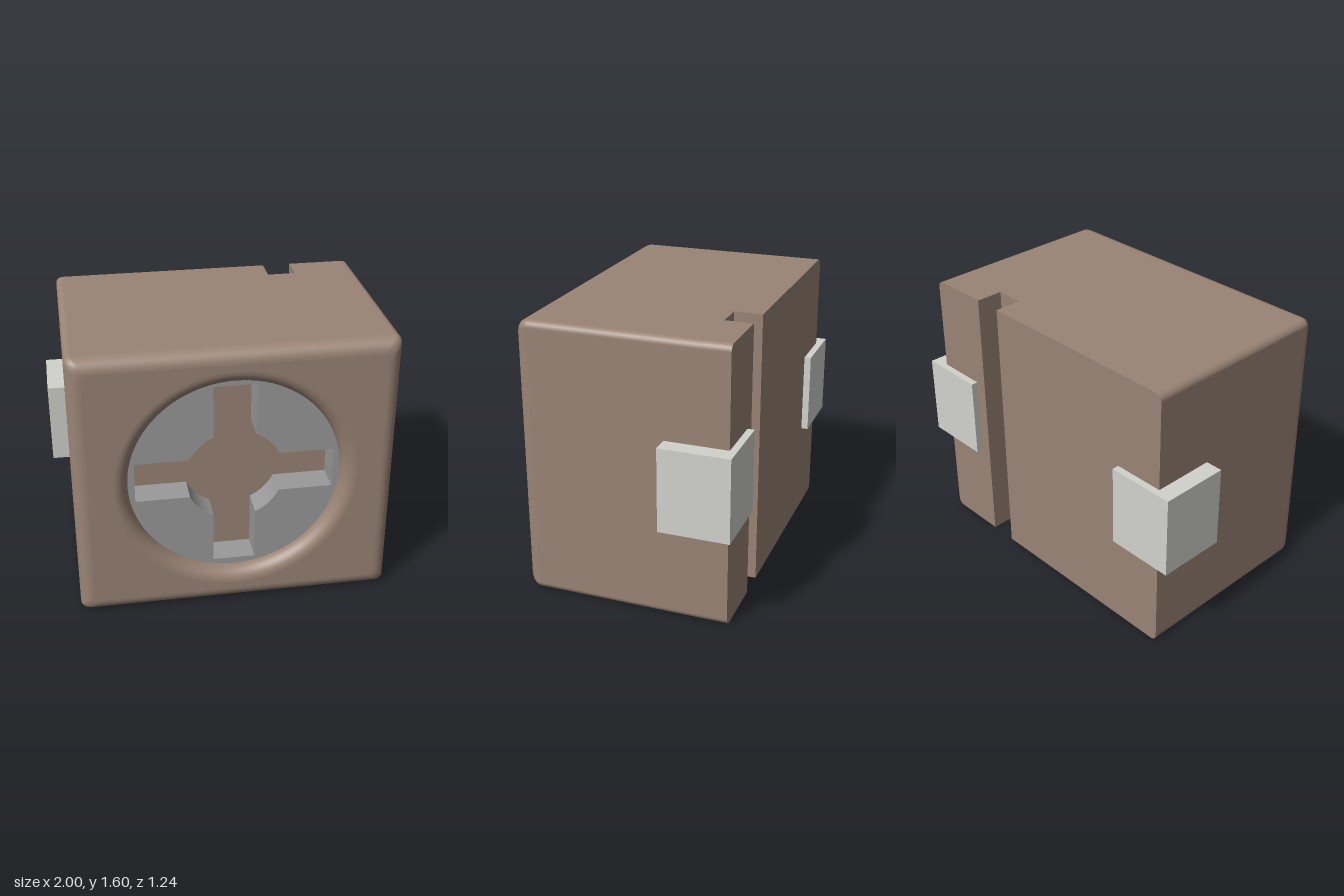
import * as THREE from 'three';

const brown = new THREE.MeshStandardMaterial({ color: 0x9a8475 });
const lightGrey = new THREE.MeshStandardMaterial({ color: 0xd2d2cd });
const midGrey = new THREE.MeshStandardMaterial({ color: 0x9a9a9a });

const HALF_W = 0.9, HALF_H = 0.8, CORNER = 0.04, FILLET = 0.08;
const FRONT = 0.62, BACK = -0.58, GROOVE_Z = -0.42, GROOVE = [0.365, 0.53];
const HOLE_R = 0.6, FLOOR_Z = 0.37;

function add(parent, name, geometry, material, x = 0, y = 0, z = 0) {
  const mesh = new THREE.Mesh(geometry, material);
  mesh.name = name;
  mesh.position.set(x, y, z);
  parent.add(mesh);
  return mesh;
}

// Counter-clockwise rectangle with separate corner radii on its left and right sides
function rectPoints(x0, x1, h, rLeft, rRight) {
  const pts = [];
  const corners = [[x1, h, rRight, 1, 1], [x0, h, rLeft, -1, 1], [x0, -h, rLeft, -1, -1], [x1, -h, rRight, 1, -1]];
  corners.forEach(([x, y, r, sx, sy], c) => {
    const steps = r > 0 ? 8 : 0;
    for (let i = 0; i <= steps; i++) {
      const a = (c + (steps ? i / steps : 0)) * Math.PI / 2;
      pts.push(new THREE.Vector2(x - sx * r + r * Math.cos(a), y - sy * r + r * Math.sin(a)));
    }
  });
  return pts;
}

const outline = inset =>
  rectPoints(-HALF_W + inset, HALF_W - inset, HALF_H - inset, CORNER, CORNER);

// Outer walls: outline rings swept forward and then inward around the front fillet
function wallGeometry() {
  const profile = [[0, GROOVE_Z]];
  for (let i = 0; i <= 10; i++) {
    const a = i / 10 * Math.PI / 2;
    profile.push([FILLET * (1 - Math.cos(a)), FRONT - FILLET * (1 - Math.sin(a))]);
  }
  const pos = [], index = [];
  const n = outline(0).length;
  profile.forEach(([inset, z], k) => {
    outline(inset).forEach(p => pos.push(p.x, p.y, z));
    if (k === 0) return;
    for (let i = 0; i < n; i++) {
      const j = (i + 1) % n, a = (k - 1) * n, b = k * n;
      index.push(a + i, a + j, b + j, a + i, b + j, b + i);
    }
  });
  const g = new THREE.BufferGeometry();
  g.setAttribute('position', new THREE.Float32BufferAttribute(pos, 3));
  g.setIndex(index);
  g.computeVertexNormals();
  return g;
}

// Cross-shaped opening with a round centre
function crossPath() {
  const w = 0.12, l = 0.56, r = 0.28, a0 = Math.asin(w / r);
  const pts = [];
  for (let k = 0; k < 4; k++) {
    const turn = k * Math.PI / 2, origin = new THREE.Vector2();
    pts.push(new THREE.Vector2(l, -w).rotateAround(origin, turn));
    pts.push(new THREE.Vector2(l, w).rotateAround(origin, turn));
    for (let i = 0; i <= 10; i++) {
      const a = turn + a0 + (Math.PI / 2 - 2 * a0) * i / 10;
      pts.push(new THREE.Vector2(r * Math.cos(a), r * Math.sin(a)));
    }
  }
  return new THREE.Path(pts);
}

export function createModel() {
  const model = new THREE.Group();
  model.name = 'block';
  const body = new THREE.Group();
  body.name = 'body';
  body.position.y = HALF_H;
  model.add(body);

  add(body, 'outerWalls', wallGeometry(), brown);

  // Front face around the round opening
  const face = new THREE.Shape(outline(FILLET));
  face.holes.push(new THREE.Path().absarc(0, 0, HOLE_R + FILLET, 0, Math.PI * 2, true));
  add(body, 'frontFace', new THREE.ShapeGeometry(face, 48), brown, 0, 0, FRONT);

  // Rounded lip turning into the opening
  const lip = [];
  for (let i = 0; i <= 10; i++) {
    const a = i / 10 * Math.PI / 2;
    lip.push(new THREE.Vector2(HOLE_R + FILLET * (1 - Math.sin(a)), FRONT - FILLET * (1 - Math.cos(a))));
  }
  const lipMaterial = brown.clone();
  lipMaterial.side = THREE.DoubleSide;
  const lipGeometry = new THREE.LatheGeometry(lip.reverse(), 96);
  lipGeometry.rotateX(Math.PI / 2);
  // Lathe order chosen so the lip's normals face the opening
  const nrm = lipGeometry.attributes.normal, p = lipGeometry.attributes.position;
  if (nrm.getX(0) * p.getX(0) + nrm.getY(0) * p.getY(0) > 0) {
    const idx = lipGeometry.index.array;
    for (let i = 0; i < idx.length; i += 3) [idx[i], idx[i + 1]] = [idx[i + 1], idx[i]];
    for (let i = 0; i < nrm.array.length; i++) nrm.array[i] *= -1;
  }
  add(body, 'openingLip', lipGeometry, lipMaterial);

  // Slotted disc set in the opening, with the body showing through its cross
  const disc = new THREE.Shape().absarc(0, 0, HOLE_R, 0, Math.PI * 2, false);
  disc.holes.push(crossPath());
  const discDepth = FRONT - FILLET - FLOOR_Z;
  add(body, 'slottedDisc', new THREE.ExtrudeGeometry(disc, { depth: discDepth, bevelEnabled: false, curveSegments: 48 }),
    midGrey, 0, 0, FLOOR_Z);
  add(body, 'openingFloor', new THREE.CircleGeometry(HOLE_R, 64), brown, 0, 0, FLOOR_Z + 0.002);

  // Back slabs either side of the vertical groove
  const slab = pts => new THREE.ExtrudeGeometry(new THREE.Shape(pts), { depth: GROOVE_Z - BACK, bevelEnabled: false });
  add(body, 'backSlabRight', slab(rectPoints(-HALF_W, GROOVE[0], HALF_H, CORNER, 0)), brown, 0, 0, BACK);
  add(body, 'backSlabLeft', slab(rectPoints(GROOVE[1], HALF_W, HALF_H, 0, CORNER)), brown, 0, 0, BACK);
  const floor = new THREE.PlaneGeometry(GROOVE[1] - GROOVE[0], HALF_H * 2);
  add(body, 'grooveFloor', floor, brown, (GROOVE[0] + GROOVE[1]) / 2, 0, GROOVE_Z).rotation.y = Math.PI;

  // Blocks wrapping the two rear vertical edges
  for (const side of [-1, 1]) {
    add(model, side < 0 ? 'cornerBlockRight' : 'cornerBlockLeft',
      new THREE.BoxGeometry(0.4, 0.48, 0.4), lightGrey, side * 0.8, HALF_H, -0.42);
  }
  return model;
}
